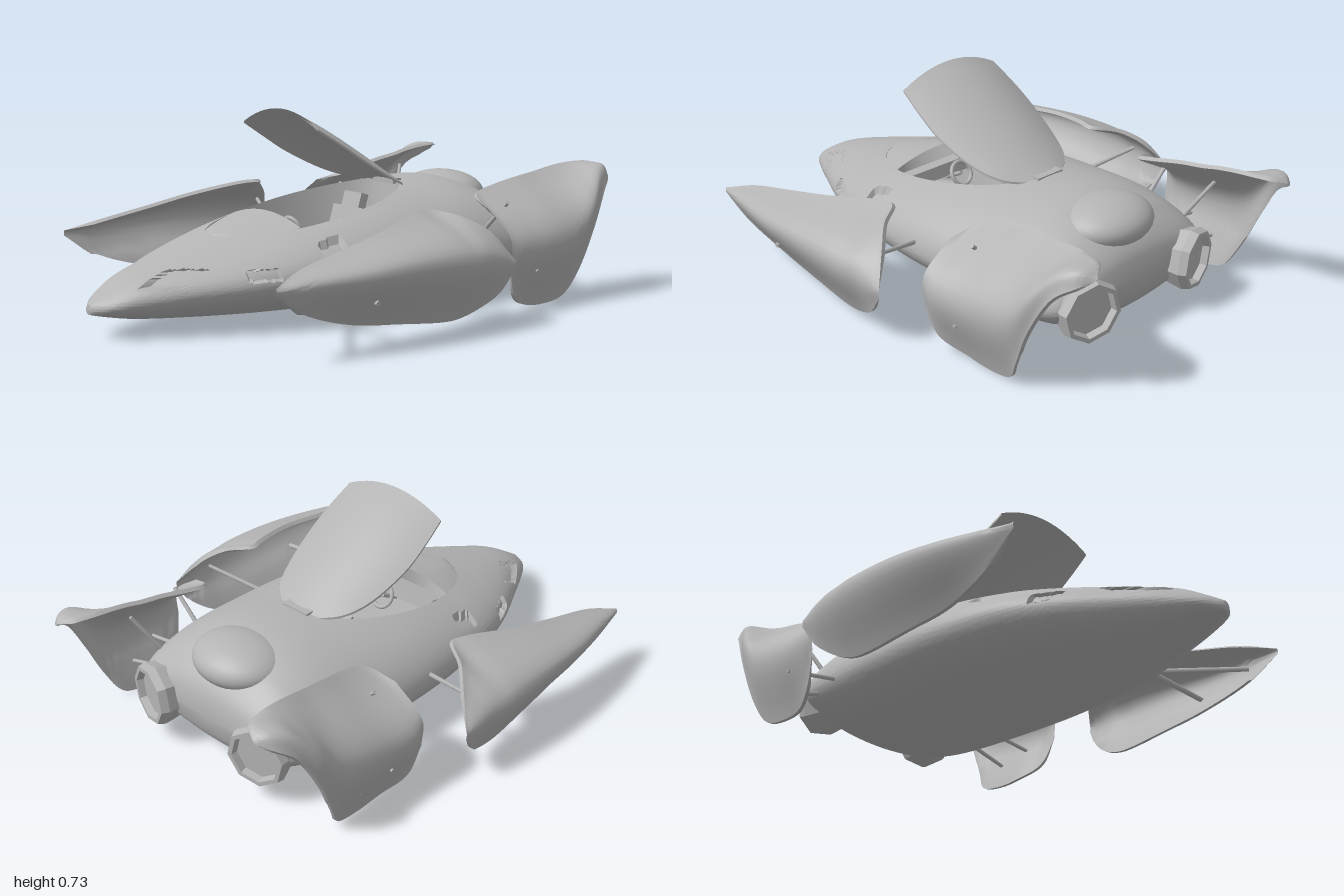
import * as THREE from 'three';
import { toCreasedNormals } from 'three/addons/utils/BufferGeometryUtils.js';

const grey = new THREE.MeshStandardMaterial({ color: 0xb4b4b4, side: THREE.DoubleSide });
grey.name = 'grey';
const V = (x, y, z) => new THREE.Vector3(x, y, z);

function add(parent, name, geometry) {
  const mesh = new THREE.Mesh(geometry, grey);
  mesh.name = name;
  parent.add(mesh);
  return mesh;
}

// Skin a row of equal-length cross-sections
function loft(sections, closed = false, crease = 0.9) {
  const n = sections[0].length, index = [];
  const cols = closed ? n : n - 1;
  for (let i = 0; i < sections.length - 1; i++)
    for (let j = 0; j < cols; j++) {
      const k = (j + 1) % n, a = i * n + j, b = i * n + k, c = a + n, d = b + n;
      index.push(a, c, b, b, c, d);
    }
  const g = new THREE.BufferGeometry().setFromPoints(sections.flat());
  g.setIndex(index);
  g.computeVertexNormals();
  return toCreasedNormals(g, crease);
}

// Smooth interpolation of a table whose first column is z (descending)
function sample(keys, z) {
  let i = 0;
  while (i < keys.length - 2 && z < keys[i + 1][0]) i++;
  const a = keys[i], b = keys[i + 1], p = keys[Math.max(i - 1, 0)], q = keys[Math.min(i + 2, keys.length - 1)];
  const d = b[0] - a[0], t = (z - a[0]) / d;
  return a.slice(1).map((v, c) => {
    c++;
    const m0 = (b[c] - p[c]) / (b[0] - p[0]) * d, m1 = (q[c] - a[c]) / (q[0] - a[0]) * d;
    const t2 = t * t, t3 = t2 * t;
    return (2 * t3 - 3 * t2 + 1) * v + (t3 - 2 * t2 + t) * m0 + (3 * t2 - 2 * t3) * b[c] + (t3 - t2) * m1;
  });
}

// Hull: z, half width, top, waist, bottom
const HULL = [
  [0.99, 0.02, 0.12, 0.1, 0.085], [0.95, 0.075, 0.145, 0.11, 0.075], [0.85, 0.14, 0.2, 0.13, 0.055],
  [0.7, 0.22, 0.247, 0.15, 0.04], [0.5, 0.32, 0.3, 0.17, 0.027], [0.3, 0.385, 0.35, 0.185, 0.018],
  [0, 0.425, 0.41, 0.19, 0.01], [-0.3, 0.425, 0.435, 0.19, 0.008], [-0.5, 0.415, 0.44, 0.19, 0.012],
  [-0.63, 0.405, 0.405, 0.19, 0.03], [-0.7, 0.39, 0.355, 0.19, 0.06], [-0.74, 0.355, 0.31, 0.19, 0.1],
  [-0.755, 0.31, 0.28, 0.19, 0.13]];
const OPEN_Z = 0.09, OPEN_L = 0.41, OPEN_W = 0.235;
const opening = z => OPEN_W * Math.sqrt(Math.max(0, 1 - ((z - OPEN_Z) / OPEN_L) ** 2));

function hullPoint(z, a) {
  const [w, top, waist, bottom] = sample(HULL, z), c = Math.cos(a);
  const y = c > 0 ? waist + (top - waist) * c ** 1.05 : waist - (waist - bottom) * (-c) ** 1.1;
  return V(w * Math.sin(a), y, z);
}
const rimAngle = z => Math.asin(Math.min(1, opening(z) / sample(HULL, z)[0]));

// Press the lamp and vent recesses into the skin
function recess(p) {
  const x = Math.abs(p.x), { y, z } = p;
  const inside = (v, lo, hi) => v > lo && v < hi;
  if (z > 0.6 && inside(x, 0.1, 0.2) && inside(y, 0.172, 0.222)) p.z -= 0.035;
  else if (inside(z, 0.18, 0.27) && inside(x, 0.31, 0.36) && y > 0.2) p.y -= 0.025;
  else if (inside(z, 0.44, 0.54) && inside(y, 0.185, 0.22)) p.x -= Math.sign(p.x) * 0.02;
  return p;
}

function buildHull(parent) {
  const zs = [];
  for (let i = 0; i <= 150; i++) zs.push(0.99 - 1.745 * i / 150);
  for (let i = 0; i <= 40; i++) zs.push(OPEN_Z + OPEN_L * Math.cos(Math.PI * i / 40));
  zs.sort((a, b) => b - a);
  const stations = zs.filter((z, i) => i === 0 || zs[i - 1] - z > 1e-5);
  const rings = stations.map(z => {
    const a0 = rimAngle(z);
    return Array.from({ length: 121 }, (_, j) => recess(hullPoint(z, a0 + (2 * Math.PI - 2 * a0) * j / 120)));
  });
  // close nose and tail
  rings.unshift(rings[0].map(() => V(0, 0.1, 0.995)));
  rings.push(rings[rings.length - 1].map(() => V(0, 0.2, -0.765)));
  add(parent, 'hull', loft(rings, false, 0.6));

  const hump = add(parent, 'rearHump', new THREE.SphereGeometry(1, 32, 20));
  hump.scale.set(0.18, 0.085, 0.15);
  hump.position.set(0, 0.365, -0.6);
}

function buildCockpit(parent) {
  const tub = [];
  for (let i = 0; i <= 40; i++) {
    const z = OPEN_Z + OPEN_L * Math.cos(Math.PI * i / 40), a = rimAngle(z);
    const r = hullPoint(z, a), fz = OPEN_Z + (z - OPEN_Z) * 0.9;
    tub.push([r, V(r.x * 0.85, 0.14, fz), V(-r.x * 0.85, 0.14, fz), V(-r.x, r.y, z)]);
  }
  add(parent, 'cockpitTub', loft(tub));

  const box = (name, w, h, d, x, y, z, tilt = 0) => {
    const m = add(parent, name, new THREE.BoxGeometry(w, h, d));
    m.position.set(x, y, z);
    m.rotation.x = tilt;
  };
  box('seatBase', 0.17, 0.05, 0.17, 0, 0.18, 0.0);
  box('seatBack', 0.17, 0.17, 0.04, 0, 0.26, -0.11, -0.3);
  box('headrest', 0.1, 0.06, 0.035, 0, 0.365, -0.15, -0.3);
  box('dashboard', 0.38, 0.05, 0.07, 0, 0.28, 0.24, 0.2);
  box('lidHinge', 0.12, 0.02, 0.04, 0, 0.432, -0.31);

  const wheel = add(parent, 'steeringWheel', new THREE.TorusGeometry(0.045, 0.008, 8, 24));
  wheel.position.set(0, 0.29, 0.14);
  wheel.rotation.x = 0.5;
  const column = add(parent, 'steeringColumn', new THREE.CylinderGeometry(0.008, 0.008, 0.09, 8));
  column.position.set(0, 0.27, 0.18);
  column.rotation.x = Math.PI / 2 + 0.5;

  // Arched panels: z, half width, centre height, edge height
  const panel = (name, keys, thick) => add(parent, name, loft(Array.from({ length: 31 }, (_, i) => {
    const z = keys[0][0] + (keys[keys.length - 1][0] - keys[0][0]) * i / 30;
    const [w, mid, edge] = sample(keys, z);
    const row = Array.from({ length: 21 }, (_, j) => {
      const u = j / 10 - 1;
      return V(w * u, mid + (edge - mid) * u * u, z);
    });
    return [...row, ...row.map(p => V(p.x, p.y - thick, p.z)).reverse()];
  }), true));
  panel('canopyLid', [[0.2, 0.225, 0.73, 0.67], [0.1, 0.235, 0.682, 0.61], [0, 0.235, 0.627, 0.55],
    [-0.15, 0.205, 0.537, 0.475], [-0.25, 0.155, 0.474, 0.44], [-0.32, 0.07, 0.432, 0.425]], 0.008);
  panel('windshield', [[0.505, 0.015, 0.305, 0.3], [0.47, 0.09, 0.317, 0.3], [0.4, 0.155, 0.336, 0.305],
    [0.33, 0.19, 0.353, 0.318], [0.27, 0.212, 0.368, 0.33]], 0.006);
}

// Curved fin: each row is z, then x,y of top edge, bulge and lower edge
function finGeometry(rows) {
  const rails = [1, 3, 5].map(c => new THREE.CatmullRomCurve3(rows.map(r => V(r[c], r[c + 1], r[0]))));
  return loft(Array.from({ length: 57 }, (_, i) => {
    const rib = new THREE.CatmullRomCurve3(rails.map(r => r.getPoint(i / 56)));
    const outer = rib.getPoints(16), t = Math.min(1, i / 6, (56 - i) / 6);
    return [...outer, ...outer.map(p => V(p.x - 0.014 * t, p.y - 0.01 * t * (p.y > 0.15 ? 1 : 0), p.z)).reverse()];
  }), true);
}
const FRONT_FIN = [
  [0.72, 0.678, 0.25, 0.682, 0.24, 0.68, 0.23], [0.6, 0.632, 0.285, 0.705, 0.25, 0.665, 0.15],
  [0.4, 0.605, 0.325, 0.745, 0.26, 0.65, 0.085], [0.2, 0.58, 0.365, 0.76, 0.27, 0.66, 0.06],
  [0, 0.52, 0.4, 0.76, 0.27, 0.67, 0.04], [-0.06, 0.507, 0.4, 0.757, 0.265, 0.675, 0.045],
  [-0.13, 0.6, 0.38, 0.75, 0.26, 0.69, 0.07], [-0.2, 0.67, 0.33, 0.745, 0.24, 0.72, 0.12],
  [-0.26, 0.735, 0.23, 0.737, 0.22, 0.735, 0.2]];
const REAR_FIN = [
  [-0.355, 0.5, 0.375, 0.62, 0.28, 0.62, 0.17], [-0.4, 0.4, 0.415, 0.63, 0.26, 0.6, 0.06],
  [-0.5, 0.39, 0.44, 0.625, 0.25, 0.56, 0.01], [-0.6, 0.4, 0.46, 0.62, 0.26, 0.555, 0],
  [-0.7, 0.405, 0.475, 0.615, 0.28, 0.56, 0.02], [-0.75, 0.41, 0.485, 0.61, 0.31, 0.585, 0.1],
  [-0.82, 0.415, 0.495, 0.6, 0.385, 0.6, 0.26], [-0.9, 0.425, 0.5, 0.55, 0.475, 0.58, 0.4],
  [-0.96, 0.445, 0.497, 0.52, 0.488, 0.545, 0.445], [-0.995, 0.485, 0.475, 0.49, 0.47, 0.495, 0.465]];

function strut(parent, name, a, b, r = 0.009) {
  const from = V(...a), to = V(...b), dir = to.clone().sub(from);
  const m = add(parent, name, new THREE.CylinderGeometry(r * 0.8, r, dir.length(), 8));
  m.position.copy(from).add(to).multiplyScalar(0.5);
  m.quaternion.setFromUnitVectors(V(0, 1, 0), dir.normalize());
}

function buildSide(parent, sign) {
  const side = new THREE.Group();
  side.name = sign > 0 ? 'leftSide' : 'rightSide';
  side.scale.x = sign;
  parent.add(side);
  add(side, 'frontFin', finGeometry(FRONT_FIN));
  add(side, 'rearFin', finGeometry(REAR_FIN));
  strut(side, 'frontFinStrut', [0.39, 0.215, -0.06], [0.65, 0.295, -0.16]);
  strut(side, 'rearFinUpperStrut', [0.36, 0.25, -0.46], [0.5, 0.385, -0.46]);
  strut(side, 'rearFinTopStrut', [0.35, 0.28, -0.66], [0.41, 0.42, -0.74]);
  strut(side, 'rearFinMiddleStrut', [0.38, 0.18, -0.5], [0.62, 0.145, -0.5]);
  strut(side, 'rearFinLowerStrut', [0.38, 0.16, -0.62], [0.59, 0.1, -0.62]);
  if (sign > 0) {
    // paired front struts sit on the left side only
    strut(side, 'frontArm', [0.37, 0.19, 0.345], [0.72, 0.16, 0.345], 0.012);
    strut(side, 'diagonalArm', [0.37, 0.18, 0.34], [0.66, 0.2, 0.6], 0.012);
    add(side, 'armJoint', new THREE.SphereGeometry(0.022, 12, 8)).position.set(0.39, 0.185, 0.348);
  }

  // Octagonal engine nozzle with a recessed face
  const profile = [[0.08, -0.16], [0.108, -0.04], [0.116, 0], [0.108, 0.03], [0.092, 0.03], [0.086, 0.005], [0, 0.005]];
  const nozzle = add(side, 'engineNozzle', toCreasedNormals(
    new THREE.LatheGeometry(profile.map(p => new THREE.Vector2(...p)), 8).rotateY(Math.PI / 8), 0.2));
  nozzle.position.set(0.265, 0.18, -0.77);
  nozzle.quaternion.setFromUnitVectors(V(0, 1, 0), V(0.25, 0, -0.97).normalize());
}

export function createModel() {
  const model = new THREE.Group();
  model.name = 'finnedCraft';
  buildHull(model);
  buildCockpit(model);
  for (const sign of [1, -1]) buildSide(model, sign);
  return model;
}
